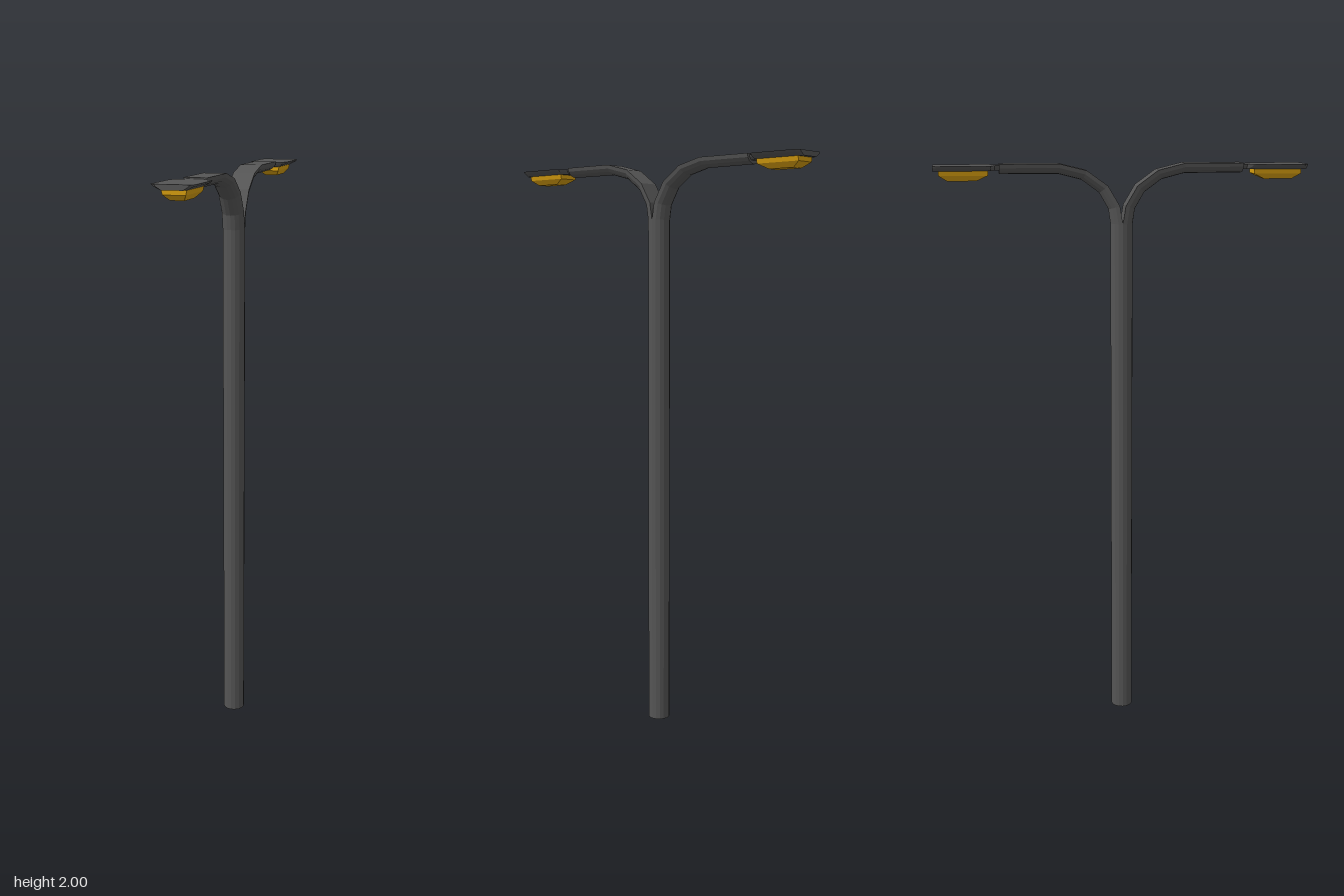
import * as THREE from 'three';

const metal = new THREE.MeshStandardMaterial({ color: 0x555555, flatShading: true });
const amber = new THREE.MeshStandardMaterial({ color: 0xd9a010, flatShading: true });

// Closed solid through rings of equal point count, capped from each ring's centre
function loft(rings) {
  const pos = [];
  const tri = (...pts) => pts.forEach((p) => pos.push(p.x, p.y, p.z));
  const n = rings[0].length;
  const centre = (ring) => ring.reduce((s, p) => s.add(p), new THREE.Vector3()).divideScalar(n);
  const first = rings[0], last = rings[rings.length - 1];
  const c0 = centre(first), c1 = centre(last);
  for (let i = 0; i < n; i++) {
    const j = (i + 1) % n;
    for (let k = 0; k < rings.length - 1; k++) {
      const a = rings[k], b = rings[k + 1];
      tri(a[i], b[i], a[j]);
      tri(a[j], b[i], b[j]);
    }
    tri(c0, first[i], first[j]);
    tri(c1, last[j], last[i]);
  }
  const geo = new THREE.BufferGeometry();
  geo.setAttribute('position', new THREE.Float32BufferAttribute(pos, 3));
  geo.computeVertexNormals();
  return geo;
}

// Ring mirrored in x from its +x half, listed by increasing z
function mirroredRing(half, y, scaleX = 1) {
  const right = half.map(([x, z]) => new THREE.Vector3(x * scaleX, y, z));
  const left = half.map(([x, z]) => new THREE.Vector3(-x * scaleX, y, z)).reverse();
  return [...right, ...left];
}

function part(name, geometry, material) {
  const mesh = new THREE.Mesh(geometry, material);
  mesh.name = name;
  return mesh;
}

const R = 0.038;

// Half-round bar: z, y of the flat face, tilt of the section in degrees, depth
function armGeometry() {
  const path = [
    [0, 1.8, 0, R],
    [0.01, 1.86, 18, 0.037],
    [0.05, 1.927, 42, 0.036],
    [0.12, 1.977, 65, 0.035],
    [0.21, 1.999, 85, 0.034],
    [0.41, 1.999, 90, 0.033],
  ];
  return loft(path.map(([z, y, deg, depth]) => {
    const tilt = THREE.MathUtils.degToRad(deg);
    return Array.from({ length: 9 }, (_, i) => {
      const t = (i / 8) * Math.PI;
      const d = depth * Math.sin(t);
      return new THREE.Vector3(R * Math.cos(t), y - d * Math.sin(tilt), z + d * Math.cos(tilt));
    });
  }));
}

// Thin head plate with a narrow neck, its underside tapering inwards
function plateGeometry() {
  const outline = [
    [0.028, 0.4], [0.028, 0.425], [0.06, 0.438], [0.068, 0.452],
    [0.068, 0.615], [0.055, 0.627],
  ];
  return loft([mirroredRing(outline, 1.978, 0.6), mirroredRing(outline, 1.988, 0.9), mirroredRing(outline, 1.995)]);
}

// Lens below the plate, narrowing downwards
function lensGeometry() {
  return loft([
    mirroredRing([[0.022, 0.485], [0.022, 0.58]], 1.945),
    mirroredRing([[0.036, 0.447], [0.036, 0.608]], 1.963),
    mirroredRing([[0.04, 0.447], [0.04, 0.608]], 1.98),
  ]);
}

export function createModel() {
  const model = new THREE.Group();
  model.name = 'streetLamp';

  const pole = part('pole', new THREE.CylinderGeometry(R, R, 1.8, 16), metal);
  pole.position.y = 0.9;
  model.add(pole);

  // Two identical branches, front and back
  const arm = armGeometry(), plate = plateGeometry(), lens = lensGeometry();
  ['front', 'back'].forEach((side, i) => {
    const branch = new THREE.Group();
    branch.name = side + 'Branch';
    branch.add(part('arm', arm, metal), part('lampPlate', plate, metal), part('lampLens', lens, amber));
    branch.rotation.y = i * Math.PI;
    model.add(branch);
  });
  return model;
}
